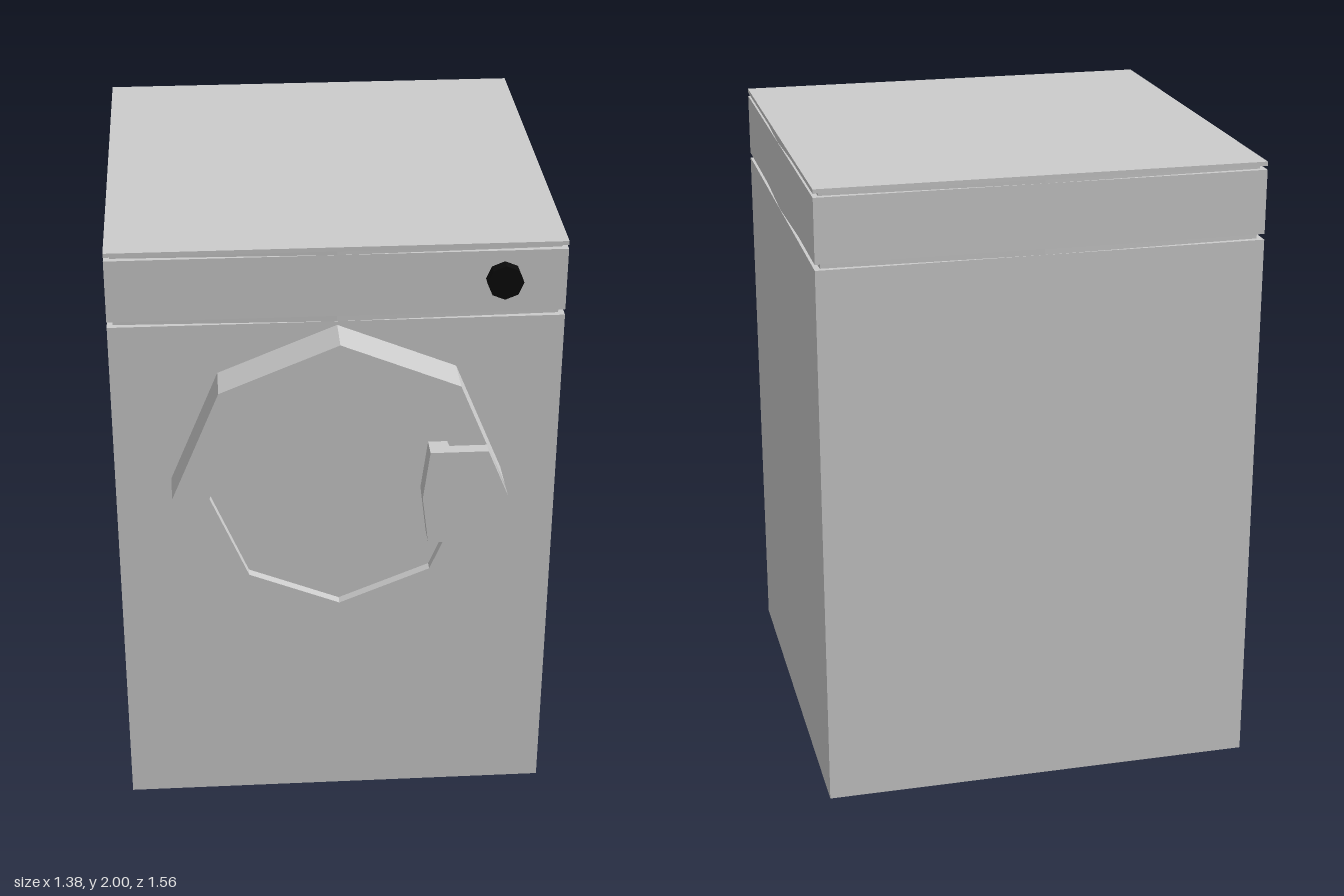
import * as THREE from 'three';
import { toCreasedNormals } from 'three/addons/utils/BufferGeometryUtils.js';

const HALF_W = 0.69, BACK = -0.78, FRONT = 0.605;
const MID_Z = (BACK + FRONT) / 2, HALF_D = (FRONT - BACK) / 2;
const DOOR_Y = 1.23;

export function createModel() {
  const group = new THREE.Group();
  const grey = new THREE.MeshStandardMaterial({ color: 0xcccccc, flatShading: true });
  const smooth = new THREE.MeshStandardMaterial({ color: 0xcccccc });
  const black = new THREE.MeshStandardMaterial({ color: 0x0a0a0a, flatShading: true });

  const add = (name, geometry, material = grey) => {
    const mesh = new THREE.Mesh(geometry, material);
    mesh.name = name;
    group.add(mesh);
    return mesh;
  };
  const slab = (name, y0, y1) =>
    add(name, new THREE.BoxGeometry(HALF_W * 2, y1 - y0, HALF_D * 2)).position.set(0, (y0 + y1) / 2, MID_Z);
  const extrude = (shape, depth) => new THREE.ExtrudeGeometry(shape, { depth, bevelEnabled: false });
  const octagon = (r) => Array.from({ length: 8 }, (_, i) =>
    new THREE.Vector2(r * Math.cos(i * Math.PI / 4), r * Math.sin(i * Math.PI / 4)));

  // Cabinet: three stacked slabs
  slab('cabinet', 0, 1.757);
  slab('controlPanel', 1.775, 1.975);
  slab('lid', 1.987, 2);

  // Seams: inset at the corners and flush at the middle of each side
  const inset = 0.018;
  const cx = HALF_W - inset, cz = HALF_D - inset, mx = HALF_W - 0.0005, mz = HALF_D - 0.0005;
  const seamOutline = new THREE.Shape([[cx, cz], [0, mz], [-cx, cz], [-mx, 0], [-cx, -cz], [0, -mz], [cx, -cz], [mx, 0]]
    .map(([x, y]) => new THREE.Vector2(x, y)));
  for (const [name, y0, y1] of [['lowerSeam', 1.757, 1.775], ['upperSeam', 1.975, 1.987]]) {
    const seam = add(name, extrude(seamOutline, y1 - y0));
    seam.rotation.x = -Math.PI / 2;
    seam.position.set(0, y0, MID_Z);
  }

  // Octagonal door ring with a recessed pane
  const ring = new THREE.Shape(octagon(0.515));
  ring.holes.push(new THREE.Path(octagon(0.4)));
  add('doorRing', extrude(ring, 0.135)).position.set(0, DOOR_Y, FRONT);
  add('doorPane', extrude(new THREE.Shape(octagon(0.4)), 0.105)).position.set(0, DOOR_Y, FRONT);

  // Handle follows the rim of the door
  const handle = new THREE.Shape([[0.272, -0.16], [0.449, -0.16], [0.515, 0], [0.449, 0.16], [0.272, 0.16], [0.252, 0]]
    .map(([x, y]) => new THREE.Vector2(x, y)));
  add('doorHandle', toCreasedNormals(extrude(handle, 0.07), 0.85), smooth).position.set(0, DOOR_Y, 0.71);

  // Control knob
  const knob = add('knob', new THREE.CylinderGeometry(0.055, 0.055, 0.035, 8), black);
  knob.rotation.x = Math.PI / 2;
  knob.position.set(0.5, 1.885, FRONT + 0.0175);

  return group;
}
